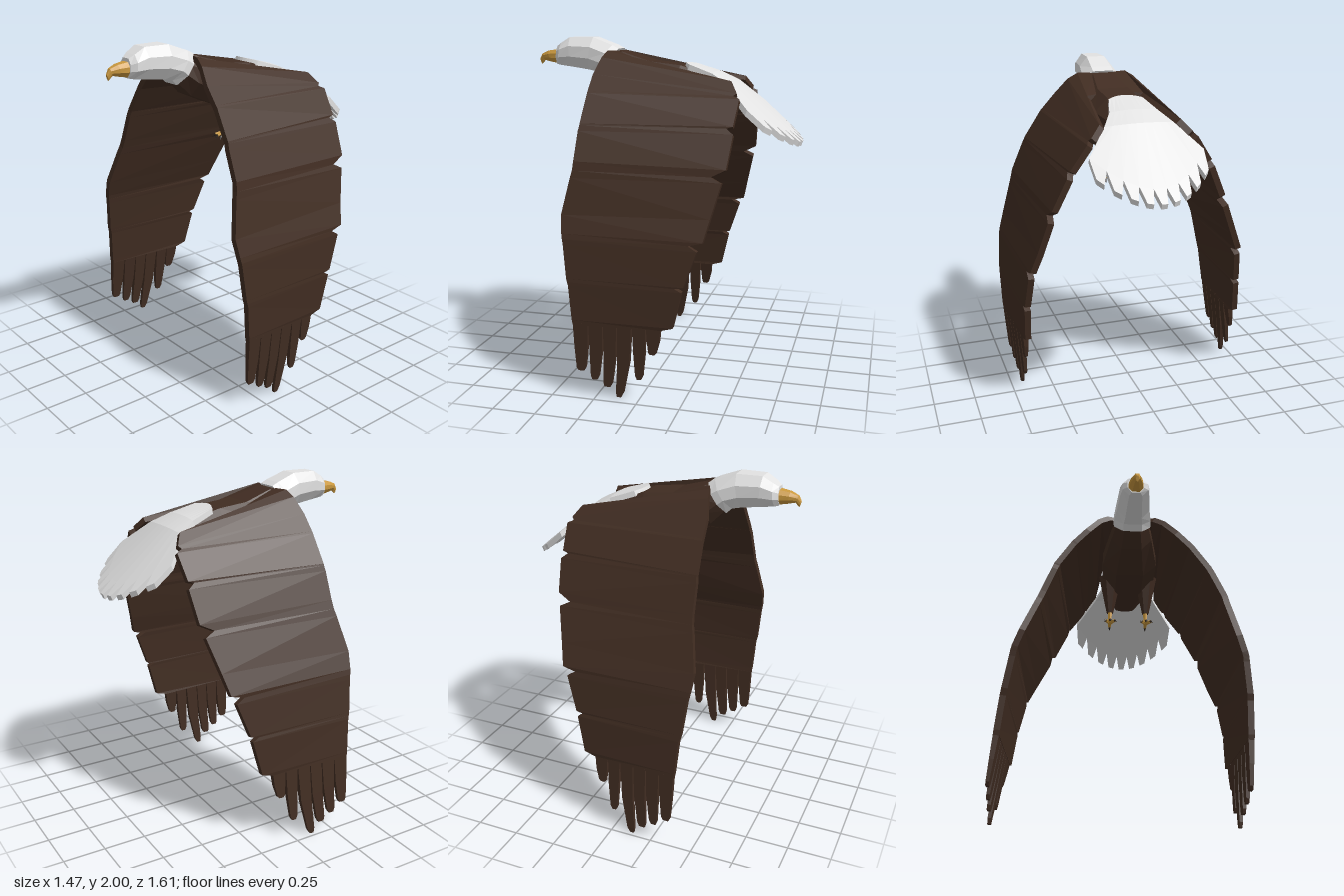
import * as THREE from 'three';

const CX = 0.065; // body centre line

function mat(name, color) {
  const m = new THREE.MeshStandardMaterial({ color, flatShading: true });
  m.name = name;
  return m;
}

// Piecewise linear lookup in [key, value] rows with descending keys
function lookup(rows, k) {
  if (k >= rows[0][0]) return rows[0][1];
  for (let i = 1; i < rows.length; i++) {
    const [k0, v0] = rows[i - 1], [k1, v1] = rows[i];
    if (k >= k1) return v0 + (v1 - v0) * (k0 - k) / (k0 - k1);
  }
  return rows[rows.length - 1][1];
}

// Closed solid through equal-sized rings of points, always facing outwards
function loft(rings) {
  const tris = [], n = rings[0].length;
  for (let i = 0; i + 1 < rings.length; i++) {
    for (let j = 0; j < n; j++) {
      const a = rings[i][j], b = rings[i][(j + 1) % n];
      const c = rings[i + 1][(j + 1) % n], d = rings[i + 1][j];
      tris.push([a, b, c], [a, c, d]);
    }
  }
  const last = rings[rings.length - 1];
  for (let j = 1; j + 1 < n; j++) {
    tris.push([rings[0][0], rings[0][j + 1], rings[0][j]], [last[0], last[j], last[j + 1]]);
  }
  let volume = 0;
  const v = (p) => new THREE.Vector3(...p);
  for (const [a, b, c] of tris) volume += v(a).dot(v(b).cross(v(c)));
  if (volume < 0) tris.forEach((t) => t.reverse());
  const g = new THREE.BufferGeometry();
  g.setAttribute('position', new THREE.Float32BufferAttribute(tris.flat(2), 3));
  g.computeVertexNormals();
  return g;
}

// Faceted trunk from stations [zTop, zBottom, halfWidth, yTop, yBottom]
const SECTION = [[0.55, 1], [1, 0.4], [1, -0.3], [0.5, -1], [-0.5, -1], [-1, -0.3], [-1, 0.4], [-0.55, 1]];
function trunk(stations) {
  return loft(stations.map(([zt, zb, w, yt, yb]) => SECTION.map(([u, h]) => {
    const k = (h + 1) / 2;
    return [CX + u * w, yb + (yt - yb) * k, zb + (zt - zb) * k];
  })));
}

// Sideways reach of each wing against height
const REACH = {
  left: [[1.94, 0.12], [1.9, 0.2], [1.675, 0.4], [1.54, 0.48], [1.34, 0.565], [1.09, 0.615],
    [0.93, 0.66], [0.68, 0.677], [0.47, 0.672], [0, 0.635]],
  right: [[1.94, 0.12], [1.9, 0.2], [1.675, 0.39], [1.55, 0.465], [1.34, 0.545], [0.94, 0.695],
    [0.6, 0.755], [0.03, 0.805]],
};
// Leading y, z and trailing y, z; the trailing edge steps in at feather notches
const WING = [
  [1.89, 0.335, 1.77, -0.43], [1.8, 0.36, 1.71, -0.47], [1.71, 0.365, 1.695, -0.455],
  [1.7, 0.365, 1.68, -0.49], [1.54, 0.375, 1.54, -0.475], [1.53, 0.375, 1.53, -0.44],
  [1.5, 0.38, 1.5, -0.48], [1.34, 0.385, 1.32, -0.46], [1.29, 0.39, 1.28, -0.38],
  [1.25, 0.4, 1.25, -0.44], [1.05, 0.44, 1.06, -0.39], [0.95, 0.43, 0.94, -0.36],
  [0.92, 0.425, 0.92, -0.28], [0.89, 0.42, 0.89, -0.33], [0.7, 0.4, 0.69, -0.26],
  [0.68, 0.395, 0.68, -0.21], [0.66, 0.39, 0.66, -0.25], [0.46, 0.375, 0.45, -0.2],
  [0.43, 0.37, 0.43, -0.13],
];
// Finger feathers: base z pair, tip z pair, tip y
const FINGERS = [
  [0.37, 0.285, 0.36, 0.31, 0.15], [0.28, 0.2, 0.28, 0.235, 0.1], [0.195, 0.12, 0.21, 0.16, 0.06],
  [0.115, 0.035, 0.14, 0.1, 0], [0.03, -0.045, 0.02, -0.02, 0.12], [-0.05, -0.13, -0.06, -0.1, 0.28],
];

function buildWing(side, material) {
  const s = side === 'left' ? 1 : -1, reach = REACH[side];
  const wing = new THREE.Group();
  wing.name = side + 'Wing';
  const inset = (y) => 0.03 + 0.05 * THREE.MathUtils.clamp((y - 0.95) / 0.82, 0, 1);
  // Outer and inner point of the wing skin
  const pair = (x, y, z, thick) => {
    const e = 0.03, dx = lookup(reach, y - e) - lookup(reach, y + e), l = Math.hypot(dx, 2 * e);
    return [[CX + s * x, y, z], [CX + s * (x - thick * 2 * e / l), y - thick * dx / l, z]];
  };
  const ring = (xl, yl, zl, xt, yt, zt, thick = 0.036) => {
    const [a, b] = pair(xl, yl, zl, thick), [c, d] = pair(xt, yt, zt, thick);
    return [a, c, d, b];
  };
  const rings = [ring(0.06, 1.925, 0.29, 0.06, 1.845, 0.05), ring(0.15, 1.925, 0.32, 0.175, 1.835, 0.04)];
  for (const [yl, zl, yt, zt] of WING) {
    rings.push(ring(lookup(reach, yl), yl, zl, lookup(reach, yt) - inset(yt), yt, zt));
  }
  const panel = new THREE.Mesh(loft(rings), material);
  panel.name = 'wingPanel';
  wing.add(panel);
  FINGERS.forEach(([a, b, ta, tb, tip], i) => {
    const steps = [0, 0.5, 0.93, 1].map((t) => {
      const y = 0.44 + (tip - 0.44) * t, k = t * t, pinch = t === 1 ? 0.008 : 0;
      const x = (z) => lookup(reach, y) - 0.03 * (0.37 - z) / 0.5;
      const za = a + (ta - a) * k - pinch, zb = b + (tb - b) * k + pinch;
      return ring(x(za), y, za, x(zb), y, zb, 0.034 - 0.016 * t);
    });
    const feather = new THREE.Mesh(loft(steps), material);
    feather.name = 'fingerFeather' + (i + 1);
    wing.add(feather);
  });
  return wing;
}

function buildTail(material) {
  const tail = new THREE.Group();
  tail.name = 'tail';
  const height = [[-0.12, 1.86], [-0.37, 1.795], [-0.5, 1.68], [-0.81, 1.42]];
  // Rows across the fan: half width, z at centre, forward sweep at the sides
  const rows = [[0.1, -0.12, -0.04], [0.14, -0.3, 0], [0.2, -0.41, 0.01], [0.325, -0.735, 0.2], [0.335, -0.81, 0.2]];
  const count = 9;
  for (let i = 0; i < count; i++) {
    const t0 = -1 + 2 * i / count, t1 = t0 + 2 / count, mid = (t0 + t1) / 2;
    const rings = rows.map(([w, z0, sweep], r) => {
      const narrow = r === 4 ? 0.45 : 1;
      const edge = [t0, t1].map((t) => {
        const u = mid + (t - mid) * narrow, z = z0 + sweep * u * u;
        return [CX + w * u, lookup(height, z) - 0.04 * u * u * r / 4, z];
      });
      const low = edge.map(([x, y, z]) => [x, y - 0.03, z + 0.012]);
      return [edge[0], edge[1], low[1], low[0]];
    });
    const feather = new THREE.Mesh(loft(rings), material);
    feather.name = 'tailFeather' + (i + 1);
    tail.add(feather);
  }
  return tail;
}

// Tapered rod between two points
function rod(name, a, b, r0, r1, material, sides = 6) {
  const p = new THREE.Vector3(...a), q = new THREE.Vector3(...b), d = q.clone().sub(p);
  const m = new THREE.Mesh(new THREE.CylinderGeometry(r1, r0, d.length(), sides), material);
  m.position.copy(p).add(q).multiplyScalar(0.5);
  m.quaternion.setFromUnitVectors(new THREE.Vector3(0, 1, 0), d.normalize());
  m.name = name;
  return m;
}

function buildLeg(s, brown, gold, dark) {
  const leg = new THREE.Group();
  leg.name = s > 0 ? 'leftLeg' : 'rightLeg';
  const x = CX + s * 0.115, z = -0.09;
  leg.add(rod('thigh', [x, 1.71, z + 0.02], [x, 1.46, z], 0.075, 0.022, brown, 7));
  leg.add(rod('shin', [x, 1.48, z], [x, 1.385, z], 0.015, 0.013, gold));
  for (const angle of [-0.5, 0, 0.5, Math.PI]) {
    const at = (r, y) => [x + Math.sin(angle) * r, y, z + Math.cos(angle) * r];
    const length = angle > 1 ? 0.035 : 0.06;
    leg.add(rod('toe', at(0, 1.39), at(length, 1.378), 0.013, 0.01, gold, 5));
    leg.add(rod('claw', at(length, 1.378), at(length + 0.02, 1.36), 0.009, 0.001, dark, 5));
  }
  return leg;
}

export function createModel() {
  const brown = mat('brownFeathers', 0x412d22);
  const white = mat('whiteFeathers', 0xe2e2e2);
  const gold = mat('goldBeak', 0xcb993f);
  const dark = mat('darkClaws', 0x2a221e);
  const model = new THREE.Group();
  model.name = 'bird';
  const add = (name, geometry, material) => {
    const m = new THREE.Mesh(geometry, material);
    m.name = name;
    model.add(m);
  };

  // Body, head and beak
  add('body', trunk([
    [0.3, 0.38, 0.1, 1.925, 1.78], [0.26, 0.3, 0.125, 1.92, 1.7], [0.08, 0.12, 0.17, 1.865, 1.62],
    [-0.1, -0.1, 0.165, 1.845, 1.585], [-0.26, -0.24, 0.135, 1.8, 1.62], [-0.45, -0.42, 0.06, 1.7, 1.66],
  ]), brown);
  add('head', trunk([
    [0.28, 0.39, 0.113, 1.935, 1.77], [0.32, 0.42, 0.113, 1.955, 1.8], [0.44, 0.47, 0.1, 2, 1.81],
    [0.59, 0.58, 0.088, 2, 1.825], [0.65, 0.66, 0.077, 1.965, 1.835], [0.68, 0.685, 0.05, 1.945, 1.84],
  ]), white);
  add('beak', trunk([
    [0.66, 0.67, 0.048, 1.93, 1.843], [0.74, 0.73, 0.034, 1.918, 1.853],
    [0.785, 0.77, 0.018, 1.9, 1.862], [0.802, 0.792, 0.008, 1.87, 1.838],
  ]), gold);

  model.add(buildTail(white), buildWing('left', brown), buildWing('right', brown));
  for (const s of [1, -1]) model.add(buildLeg(s, brown, gold, dark));
  return model;
}
